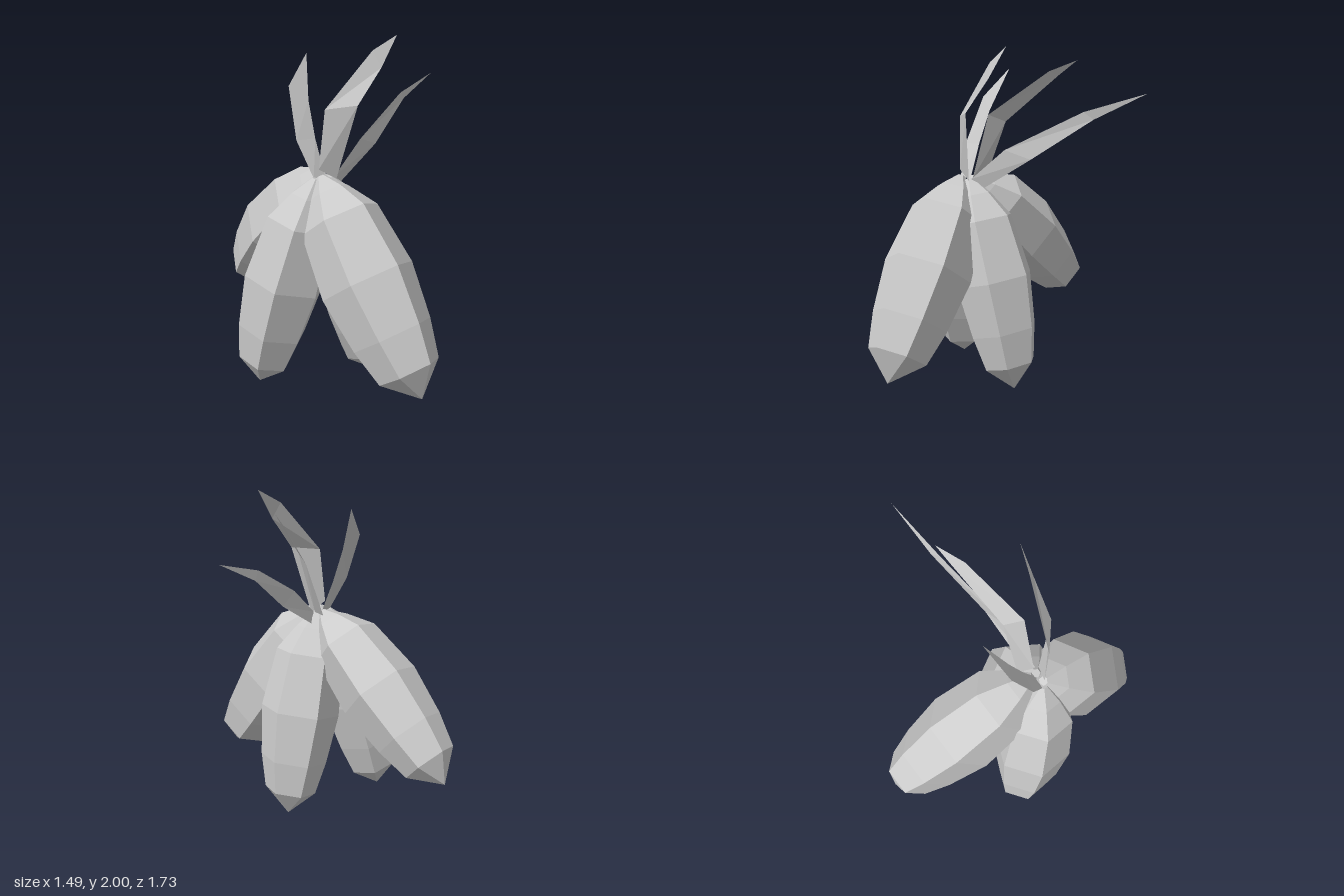
import * as THREE from 'three';

const V = (a) => new THREE.Vector3(...a);

// Six-sided pod swept from stem to pointed tip, slightly bowed outward;
// twist turns its leading ridge away from the outward direction (degrees)
function makePod(material, { name, start, end, outward, radius, bow, twist }) {
  const from = V(start), axis = V(end).sub(from);
  const length = axis.length();
  const profile = [
    [1, 0.001], [0.88, 0.66], [0.72, 0.85], [0.48, 1],
    [0.2, 0.85], [0.08, 0.46], [0, 0.1], [0, 0.001],
  ].map(([t, r]) => new THREE.Vector2(r * radius, -t * length));
  const geometry = new THREE.LatheGeometry(profile, 6, THREE.MathUtils.degToRad(90 + twist));

  // Bend along local x
  const p = geometry.attributes.position;
  for (let i = 0; i < p.count; i++) {
    const t = -p.getY(i) / length;
    p.setX(i, p.getX(i) + bow * 4 * t * (1 - t));
  }

  // Aim local -y along the axis, local x outward
  const up = axis.normalize().negate();
  const out = V(outward).addScaledVector(up, -V(outward).dot(up)).normalize();
  const side = new THREE.Vector3().crossVectors(out, up);
  geometry.applyMatrix4(new THREE.Matrix4().makeBasis(out, up, side).setPosition(from));
  geometry.computeVertexNormals();

  const mesh = new THREE.Mesh(geometry, material);
  mesh.name = name;
  return mesh;
}

// Thin blade given as pairs of edge points closing in a sharp tip
function makeLeaf(material, { name, rows, tip }) {
  const points = [...rows.flat(), tip];
  const index = [];
  for (let i = 0; i < rows.length - 1; i++) {
    const a = 2 * i;
    index.push(a, a + 1, a + 3, a, a + 3, a + 2);
  }
  const last = points.length - 1;
  index.push(last - 2, last - 1, last);
  const geometry = new THREE.BufferGeometry().setFromPoints(points.map(V));
  geometry.setIndex(index);
  geometry.computeVertexNormals();
  const mesh = new THREE.Mesh(geometry, material);
  mesh.name = name;
  return mesh;
}

export function createModel() {
  const group = new THREE.Group();
  group.name = 'podBunch';
  const podMaterial = new THREE.MeshStandardMaterial({ color: 0xcccccc, flatShading: true });
  const leafMaterial = podMaterial.clone();
  leafMaterial.side = THREE.DoubleSide;

  // Four hanging pods
  const pods = [
    { name: 'frontPod', start: [-0.34, 1.26, 0.13], end: [-0.18, 0.19, 0.82], outward: [0, 0, 1], radius: 0.262, bow: 0, twist: 10 },
    { name: 'backPod', start: [-0.29, 1.25, 0.1], end: [-0.31, 0.43, -0.85], outward: [0, 0, -1], radius: 0.245, bow: 0.015, twist: -12 },
    { name: 'leftPod', start: [-0.28, 1.25, 0.12], end: [0.04, 0.0, 0.06], outward: [1, 0, 0], radius: 0.24, bow: 0.03, twist: 10 },
    { name: 'rightPod', start: [-0.36, 1.25, 0.12], end: [-0.62, 0.03, -0.12], outward: [-1, 0, 0], radius: 0.235, bow: 0.02, twist: -15 },
  ];
  pods.forEach((pod) => group.add(makePod(podMaterial, pod)));

  // Four curling leaves above the stem
  const leaves = [
    {
      name: 'tallLeaf', tip: [0.12, 2, 0.2],
      rows: [
        [[-0.35, 1.3, 0.13], [-0.25, 1.24, 0.15]],
        [[-0.32, 1.62, 0.15], [-0.17, 1.64, 0.24]],
        [[-0.03, 1.92, 0.18], [0, 1.83, 0.22]],
      ],
    },
    {
      name: 'narrowLeaf', tip: [0.32, 1.93, -0.15],
      rows: [
        [[-0.25, 1.25, 0.12], [-0.23, 1.25, 0.03]],
        [[-0.11, 1.63, 0.12], [-0.07, 1.59, 0.02]],
        [[0.2, 1.87, -0.05], [0.22, 1.85, -0.11]],
      ],
    },
    {
      name: 'longLeaf', tip: [0.74, 1.75, -0.22],
      rows: [
        [[-0.25, 1.25, 0.13], [-0.2, 1.19, 0.09]],
        [[-0.03, 1.43, 0.07], [0.12, 1.38, 0.01]],
        [[0.4, 1.65, -0.11], [0.45, 1.61, -0.14]],
      ],
    },
    {
      name: 'shortLeaf', tip: [-0.23, 1.9, -0.17],
      rows: [
        [[-0.37, 1.25, 0.11], [-0.29, 1.25, 0.1]],
        [[-0.42, 1.45, 0.02], [-0.3, 1.45, 0.02]],
        [[-0.39, 1.73, -0.1], [-0.29, 1.65, -0.06]],
      ],
    },
  ];
  leaves.forEach((leaf) => group.add(makeLeaf(leafMaterial, leaf)));

  return group;
}
